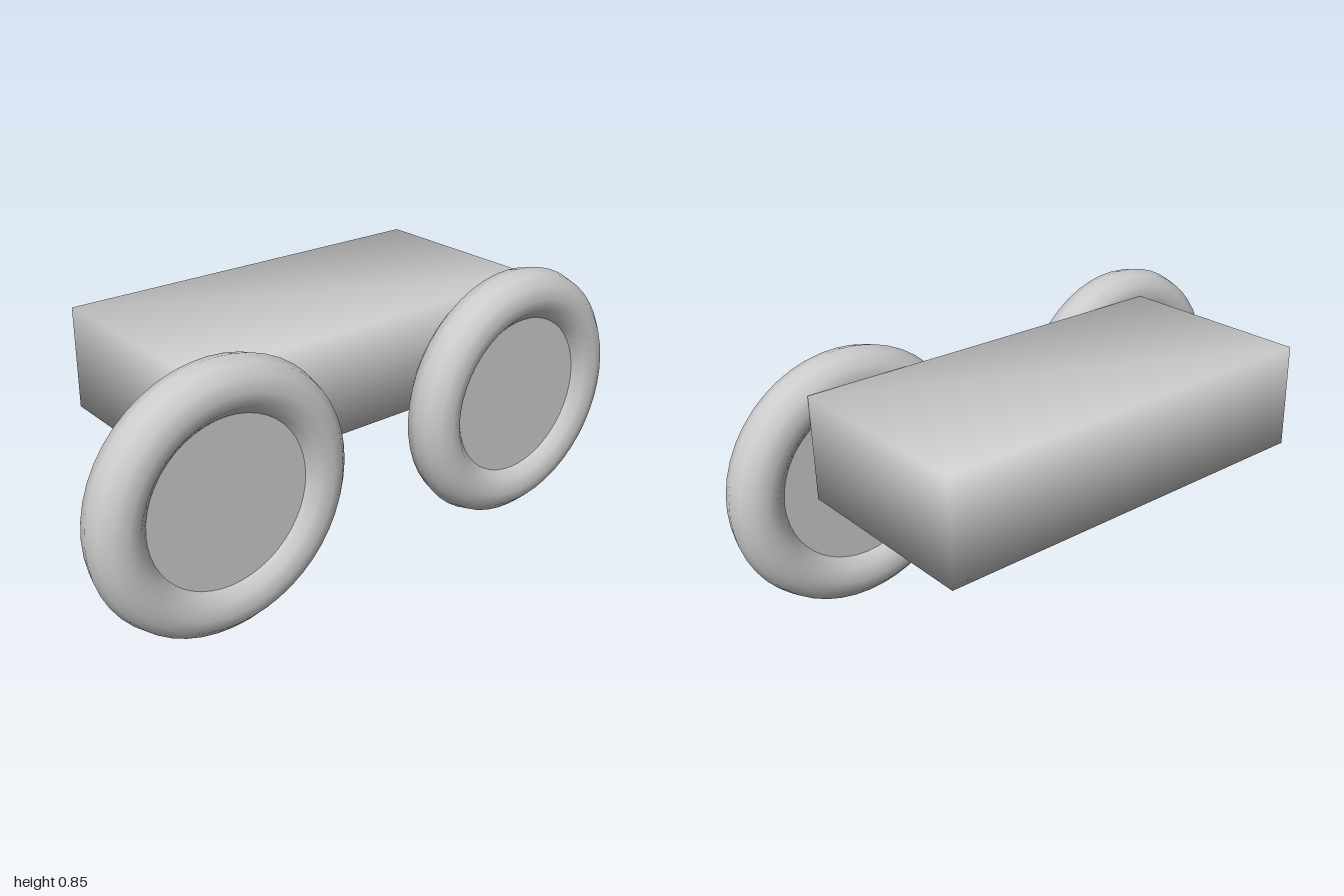
import * as THREE from 'three';
import { mergeVertices } from 'three/addons/utils/BufferGeometryUtils.js';

const material = new THREE.MeshStandardMaterial({ color: 0xcccccc });

// Box with shared corners, so its shading runs smoothly over the edges
function smoothBox(w, h, d) {
  const box = new THREE.BoxGeometry(w, h, d);
  box.deleteAttribute('normal');
  box.deleteAttribute('uv');
  const geometry = mergeVertices(box);
  geometry.computeVertexNormals();
  return geometry;
}

// Round tyre with a solid hub disc, its axle along x
function createWheel(name) {
  const wheel = new THREE.Group();
  wheel.name = name;

  const tyre = new THREE.Mesh(new THREE.TorusGeometry(0.339, 0.084, 12, 48), material);
  tyre.name = 'tyre';
  tyre.rotation.y = Math.PI / 2;

  const hub = new THREE.Mesh(new THREE.CylinderGeometry(0.29, 0.29, 0.084, 48), material);
  hub.name = 'hub';
  hub.rotation.z = Math.PI / 2;

  wheel.add(tyre, hub);
  return wheel;
}

export function createModel() {
  const model = new THREE.Group();
  model.name = 'cart';

  // Body
  const body = new THREE.Mesh(smoothBox(0.675, 0.338, 1.355), material);
  body.name = 'body';
  body.position.set(-0.0845, 0.6, -0.075);
  model.add(body);

  // Two wheels on the left side only
  for (const [name, z] of [['frontWheel', 0.577], ['backWheel', -0.577]]) {
    const wheel = createWheel(name);
    wheel.position.set(0.337, 0.424, z);
    model.add(wheel);
  }
  return model;
}
